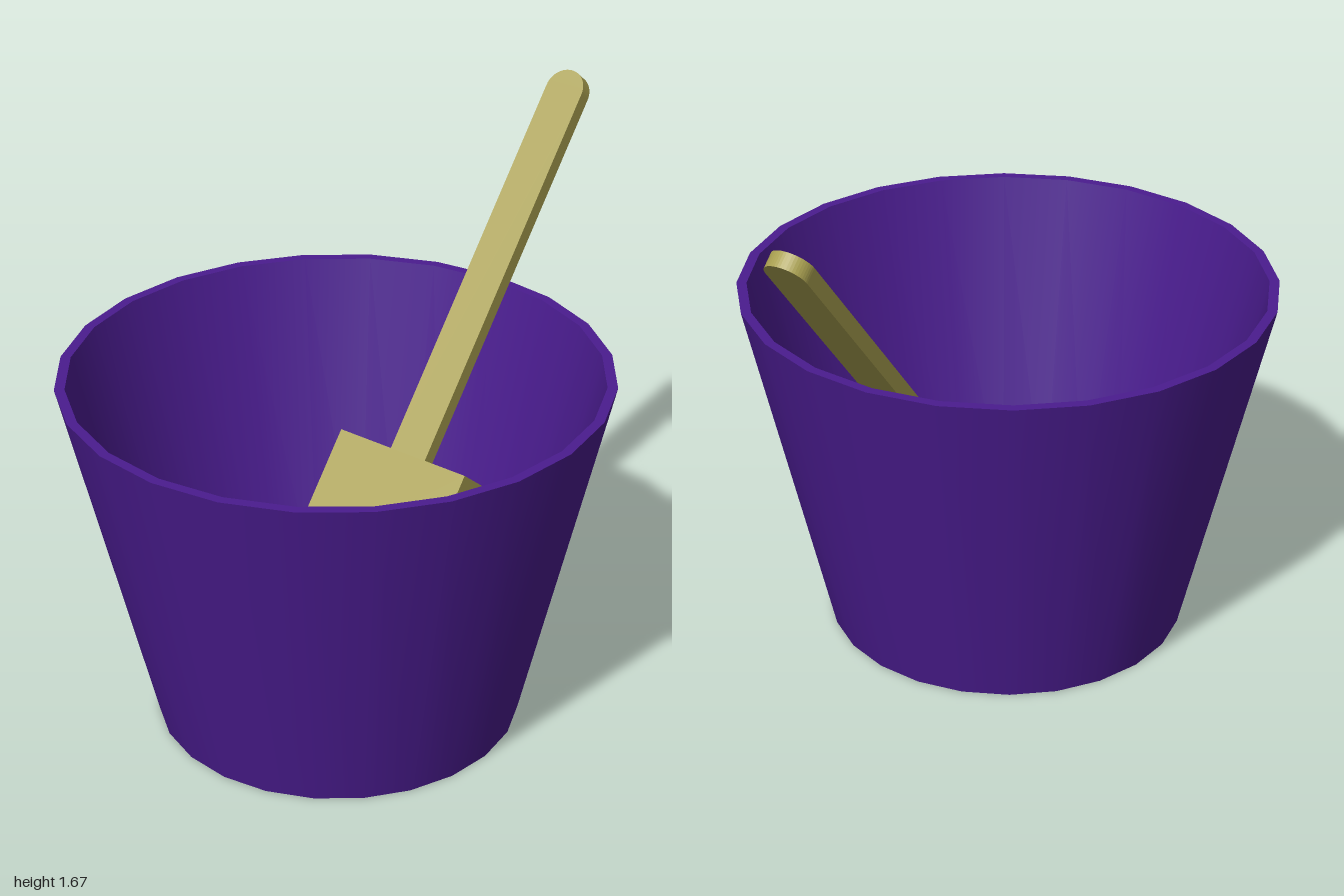
import * as THREE from 'three';
import { mergeGeometries } from 'three/addons/utils/BufferGeometryUtils.js';

const purple = new THREE.MeshStandardMaterial({ color: 0x4a1c8f });
const olive = new THREE.MeshStandardMaterial({ color: 0xa89f50 });

function addMesh(parent, name, geometry, material) {
  const mesh = new THREE.Mesh(geometry, material);
  mesh.name = name;
  parent.add(mesh);
  return mesh;
}

// Turned wall with a sharp crease at every profile point
function creasedLathe(profile, segments) {
  const bands = [];
  for (let i = 0; i < profile.length - 1; i++) {
    const pair = [profile[i], profile[i + 1]].map(([r, y]) => new THREE.Vector2(r, y));
    bands.push(new THREE.LatheGeometry(pair, segments));
  }
  return mergeGeometries(bands);
}

export function createModel() {
  const model = new THREE.Group();
  model.name = 'bucketWithSpade';

  // Tapered bucket: base, outer wall, rim, inner wall, floor
  const profile = [[0, 0], [0.545, 0], [0.805, 1.1], [0.775, 1.1], [0.518, 0.03], [0, 0.03]];
  addMesh(model, 'bucket', creasedLathe(profile, 24), purple).position.z = 0.195;

  // Spade leaning on the back rim; its origin is where handle meets head
  const spade = new THREE.Group();
  spade.name = 'spade';
  spade.position.set(0.002, 0.664, -0.165);
  spade.rotation.set(-0.69, 0, -0.012);
  model.add(spade);

  // Block head
  const headLength = 0.456;
  const head = addMesh(spade, 'spadeHead', new THREE.BoxGeometry(0.465, headLength, 0.117), olive);
  head.position.y = -headLength / 2;

  // Flat handle with a rounded end
  const length = 1.28, half = 0.064, thickness = 0.047;
  const outline = new THREE.Shape();
  outline.moveTo(-half, -0.03);
  outline.lineTo(half, -0.03);
  outline.lineTo(half, length - half);
  outline.absarc(0, length - half, half, 0, Math.PI, false);
  outline.closePath();
  const handle = new THREE.ExtrudeGeometry(outline, { depth: thickness, bevelEnabled: false, curveSegments: 12 });
  handle.translate(0, 0, -thickness / 2);
  addMesh(spade, 'spadeHandle', handle, olive);

  return model;
}
